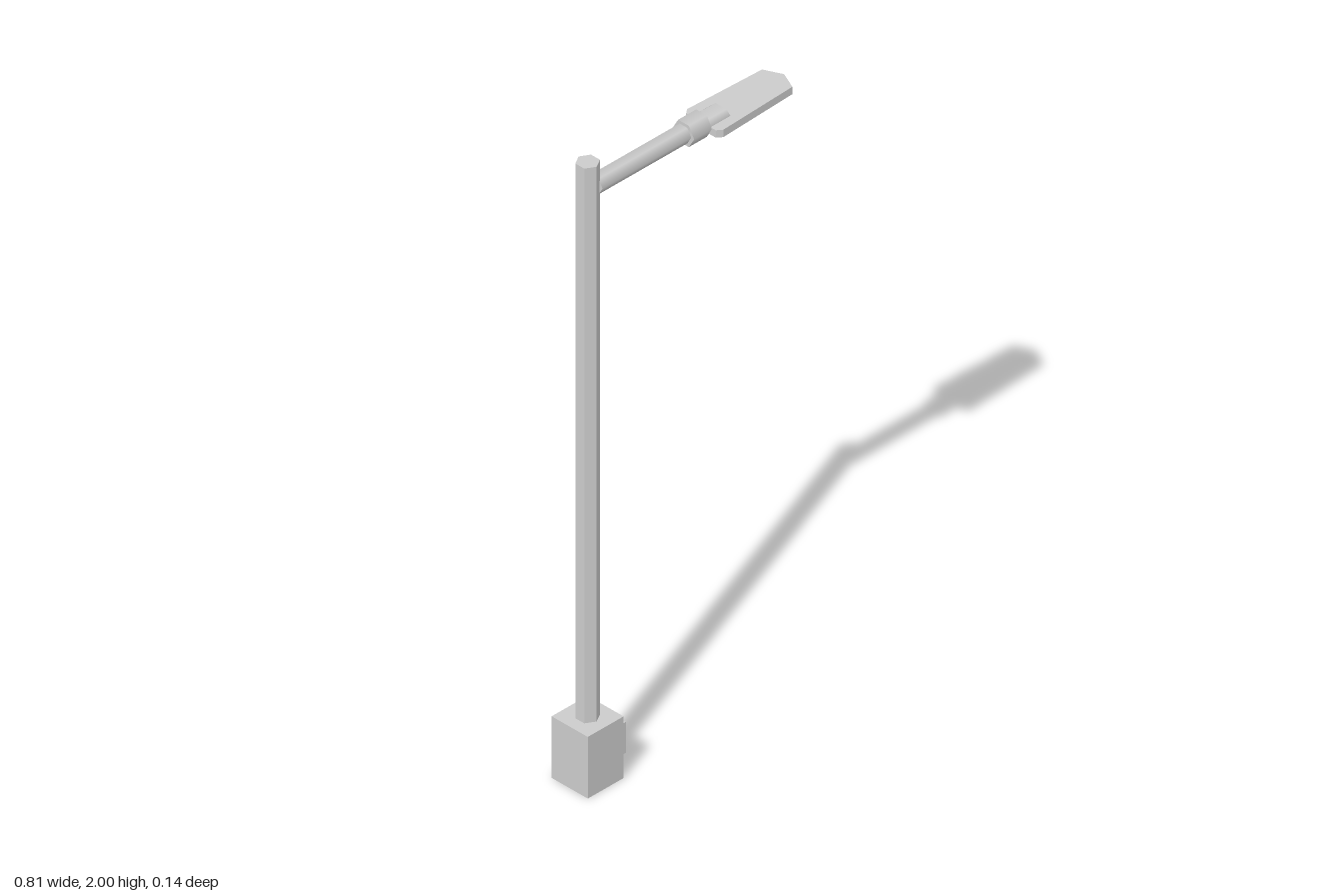
import * as THREE from 'three';

export function createModel() {
  const group = new THREE.Group();
  const smooth = new THREE.MeshStandardMaterial({ color: 0xcccccc });
  const flat = new THREE.MeshStandardMaterial({ color: 0xcccccc, flatShading: true });

  function add(name, geometry, material, x, y, z = 0) {
    const mesh = new THREE.Mesh(geometry, material);
    mesh.name = name;
    mesh.position.set(x, y, z);
    group.add(mesh);
    return mesh;
  }

  // Six-sided bar lying along x, from x0 to x1, with a flat top
  function addBar(name, radius, x0, x1, y, squash = 1) {
    const geometry = new THREE.CylinderGeometry(radius, radius, x1 - x0, 6);
    geometry.rotateZ(-Math.PI / 2).scale(1, squash, 1);
    add(name, geometry, smooth, (x0 + x1) / 2, y);
  }

  // Base cabinet with its access panel
  add('base', new THREE.BoxGeometry(0.135, 0.2, 0.136), flat, -0.337, 0.1);
  add('accessPanel', new THREE.BoxGeometry(0.025, 0.1, 0.12), flat, -0.266, 0.12);

  // Hexagonal pole
  add('pole', new THREE.CylinderGeometry(0.034, 0.034, 1.81, 6), flat, -0.337, 1.095);

  // Arm, collar and the flattened neck that grips the lamp head
  const armY = 1.913;
  addBar('arm', 0.029, -0.31, 0.03, armY);
  addBar('collar', 0.04, 0.024, 0.092, armY);
  addBar('lampNeck', 0.041, 0.09, 0.165, armY, 0.54);

  // Flat lamp head with clipped rear corners and a pointed tip
  const half = [[0.09, 0.056], [0.106, 0.068], [0.377, 0.057]];
  const outline = [
    ...half,
    [0.403, 0],
    ...half.map(([x, z]) => [x, -z]).reverse(),
  ].map(([x, z]) => new THREE.Vector2(x, z));
  const headGeometry = new THREE.ExtrudeGeometry(new THREE.Shape(outline), {
    depth: 0.024,
    bevelEnabled: false,
  });
  headGeometry.rotateX(-Math.PI / 2);
  add('lampHead', headGeometry, flat, 0, 1.894);

  return group;
}
